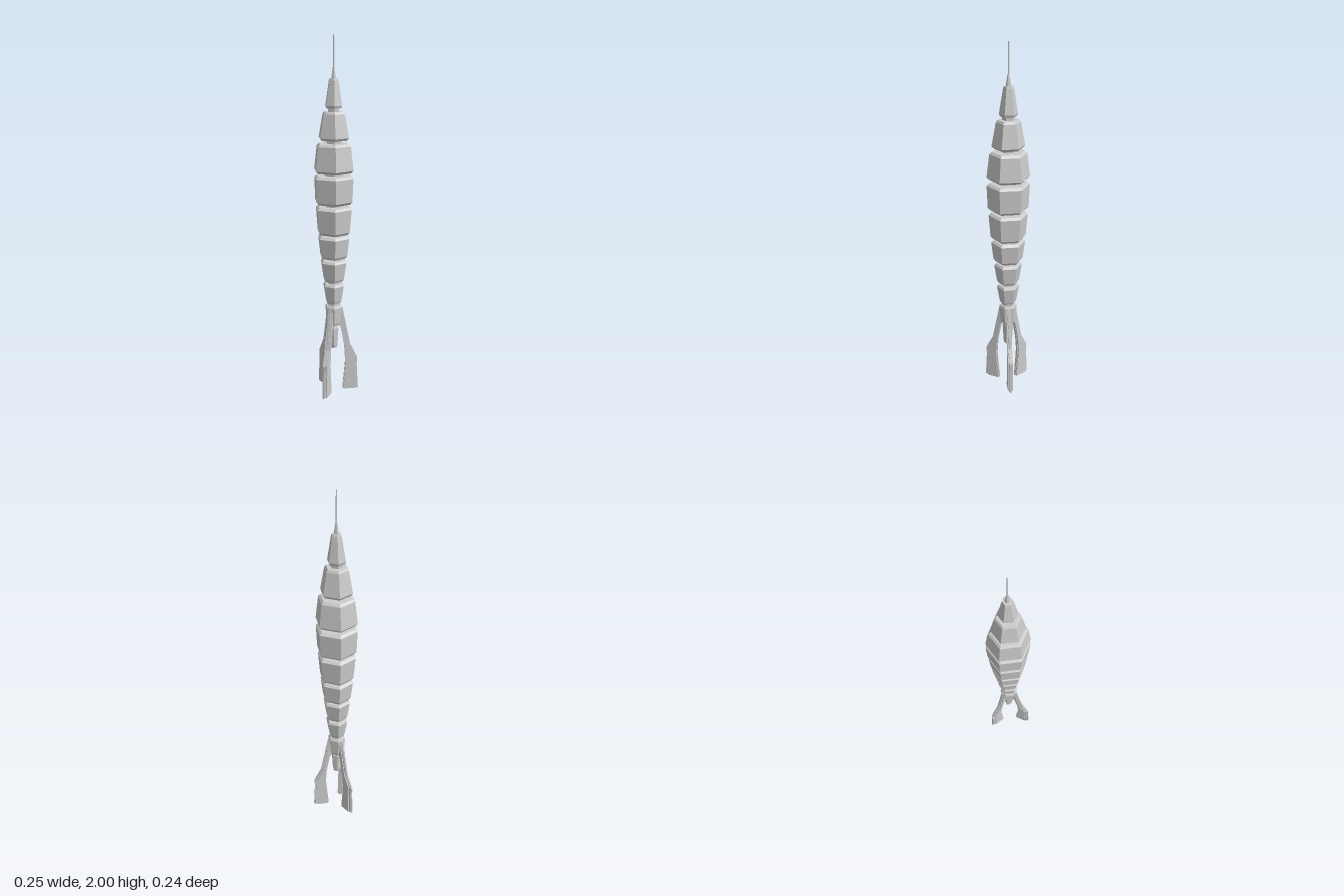
import * as THREE from 'three';

const AXIS_Z = -0.022;

export function createModel() {
  const root = new THREE.Group();
  root.name = 'rocket';
  const body = new THREE.Group();
  body.name = 'body';
  body.position.z = AXIS_Z;
  root.add(body);
  const mat = new THREE.MeshStandardMaterial({ color: 0xcccccc, flatShading: true });

  // Six-sided solid from [radius, height] points, corners on the x axis
  const hex = (name, pts) => {
    const geo = new THREE.LatheGeometry(pts.map(p => new THREE.Vector2(...p)), 6, Math.PI / 6);
    const mesh = new THREE.Mesh(geo, mat);
    mesh.name = name;
    body.add(mesh);
  };

  // Armoured hull segments: bottom y, top y, bottom radius, top radius
  const segments = [
    [0.405, 0.525, 0.043, 0.051],
    [0.54, 0.655, 0.048, 0.063],
    [0.67, 0.793, 0.063, 0.078],
    [0.807, 0.934, 0.082, 0.094],
    [0.945, 1.098, 0.097, 0.107],
    [1.115, 1.268, 0.111, 0.116],
    [1.288, 1.442, 0.116, 0.100],
    [1.46, 1.61, 0.088, 0.065],
    [1.628, 1.782, 0.049, 0.028],
  ];
  segments.forEach(([y0, y1, r0, r1], i) => hex('hullSegment' + (i + 1), [
    [0, y0], [r0 * 0.88, y0], [r0, y0 + 0.014], [r1, y1 - 0.012], [r1 * 0.87, y1], [0, y1],
  ]));

  // Recessed necks joining neighbouring segments
  const neckRadii = [0.035, 0.036, 0.016, 0.045, 0.048, 0.052, 0.04, 0.032];
  neckRadii.forEach((r, i) => {
    const y0 = segments[i][1] - 0.01, y1 = segments[i + 1][0] + 0.01;
    hex('neck' + (i + 1), [[0, y0], [r, y0], [r, y1], [0, y1]]);
  });

  // Nose tip with antenna needle
  hex('noseTip', [[0, 1.77], [0.015, 1.77], [0.012, 1.795], [0.005, 1.84], [0, 1.84]]);
  hex('needle', [[0, 1.83], [0.004, 1.83], [0.003, 2], [0, 2]]);

  // Engine nozzle under the tail
  hex('nozzle', [
    [0, 0.265], [0.022, 0.265], [0.025, 0.28], [0.031, 0.385], [0.026, 0.4], [0.026, 0.41], [0, 0.41],
  ]);

  // Fin plates: half thickness, and how far the outer and inner edges are set in
  const plates = [[0.004, 0, 0], [0.008, 0.008, 0.003], [0.014, 0.021, 0.006]];
  const outer = [[0.144, 0], [0.136, 0.15], [0.138, 0.195], [0.096, 0.28], [0.05, 0.51]];
  const inner = [[0.025, 0.51], [0.025, 0.41], [0.043, 0.38], [0.062, 0.27], [0.068, 0.18], [0.064, 0.13], [0.052, 0]];
  const finGeos = plates.map(([half, cutOut, cutIn]) => {
    const shape = new THREE.Shape([
      ...outer.map(([r, y]) => new THREE.Vector2(r - cutOut * (1 - y * 1.2), y)),
      ...inner.map(([r, y]) => new THREE.Vector2(r + cutIn * (1 - y * 1.9), y)),
    ]);
    const geo = new THREE.ExtrudeGeometry(shape, { depth: half * 2, bevelEnabled: false });
    return geo.translate(0, 0, -half).rotateY(-Math.PI / 2);
  });

  // Three landing fins, one at the front and two swept to the back
  for (let i = 0; i < 3; i++) {
    const fin = new THREE.Group();
    fin.name = 'fin' + (i + 1);
    fin.rotation.y = i * Math.PI * 2 / 3;
    finGeos.forEach((geo, k) => {
      const plate = new THREE.Mesh(geo, mat);
      plate.name = 'finPlate' + (k + 1);
      fin.add(plate);
    });
    body.add(fin);
  }
  return root;
}
